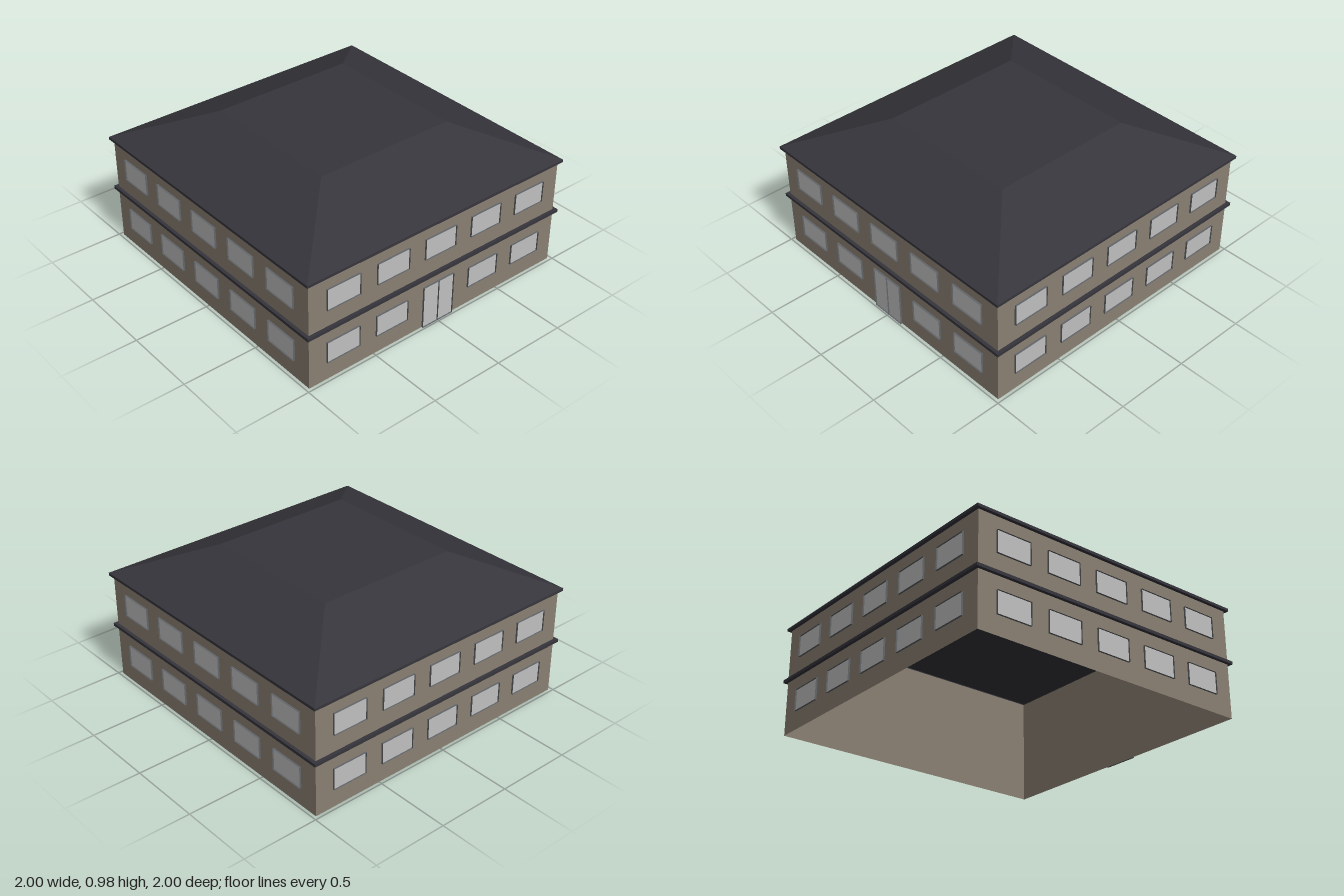
import * as THREE from 'three';

const WALL = 0.978; // half width of the walls
const EAVE = 1.0;   // half width of the eaves and the floor band

export function createModel() {
  const material = (name, color) =>
    new THREE.MeshStandardMaterial({ name, color, side: THREE.DoubleSide });
  const wallMat = material('wall beige', 0x8a8073);
  const roofMat = material('roof slate', 0x36353c);
  const paneMat = material('pane light grey', 0xc0c0c0);
  const frameMat = material('frame grey', 0x62666a);

  const model = new THREE.Group();
  model.name = 'house';

  // Square shell swept from a profile of [half width, height]
  function squareShell(name, profile, mat) {
    const points = profile.map(([r, y]) => new THREE.Vector2(r * Math.SQRT2, y));
    const geo = new THREE.LatheGeometry(points, 4, Math.PI / 4).toNonIndexed();
    geo.computeVertexNormals();
    const mesh = new THREE.Mesh(geo, mat);
    mesh.name = name;
    model.add(mesh);
  }

  // Hollow walls, band between the floors, and hipped roof with a flat top
  squareShell('walls', [[WALL, 0], [WALL, 0.727]], wallMat);
  squareShell('floorBand', [[WALL, 0.36], [EAVE, 0.36], [EAVE, 0.38], [WALL, 0.38]], roofMat);
  squareShell('roof', [[WALL, 0.727], [EAVE, 0.727], [EAVE, 0.745], [0.49, 0.975], [0, 0.975]], roofMat);

  // Pane close to the wall, surrounded by thin projecting fins
  const depth = 0.013;
  function opening(name, width, height, divided) {
    const group = new THREE.Group();
    group.name = name;
    const pane = new THREE.Mesh(new THREE.PlaneGeometry(width, height), paneMat);
    pane.name = 'pane';
    pane.position.z = 0.003;
    group.add(pane);
    for (const x of divided ? [-1, 0, 1] : [-1, 1]) {
      const side = new THREE.Mesh(new THREE.PlaneGeometry(depth, height), frameMat);
      side.name = 'frameSide';
      side.rotation.y = Math.PI / 2;
      side.position.set(x * width / 2, 0, depth / 2);
      group.add(side);
    }
    for (const y of [-1, 1]) {
      const rail = new THREE.Mesh(new THREE.PlaneGeometry(width, depth), frameMat);
      rail.name = 'frameRail';
      rail.rotation.x = Math.PI / 2;
      rail.position.set(0, y * height / 2, depth / 2);
      group.add(rail);
    }
    return group;
  }

  // Five openings per floor on each side; the front has a double door
  ['front', 'left', 'back', 'right'].forEach((sideName, i) => {
    const side = new THREE.Group();
    side.name = sideName + 'Openings';
    side.rotation.y = i * Math.PI / 2;
    for (const y of [0.197, 0.568]) {
      for (let n = -2; n <= 2; n++) {
        const isDoor = i === 0 && n === 0 && y < 0.3;
        const part = isDoor
          ? opening('door', 0.24, 0.294, true)
          : opening('window', 0.24, 0.145, false);
        part.position.set(n * 0.366, isDoor ? 0.147 : y, WALL);
        side.add(part);
      }
    }
    model.add(side);
  });

  return model;
}
